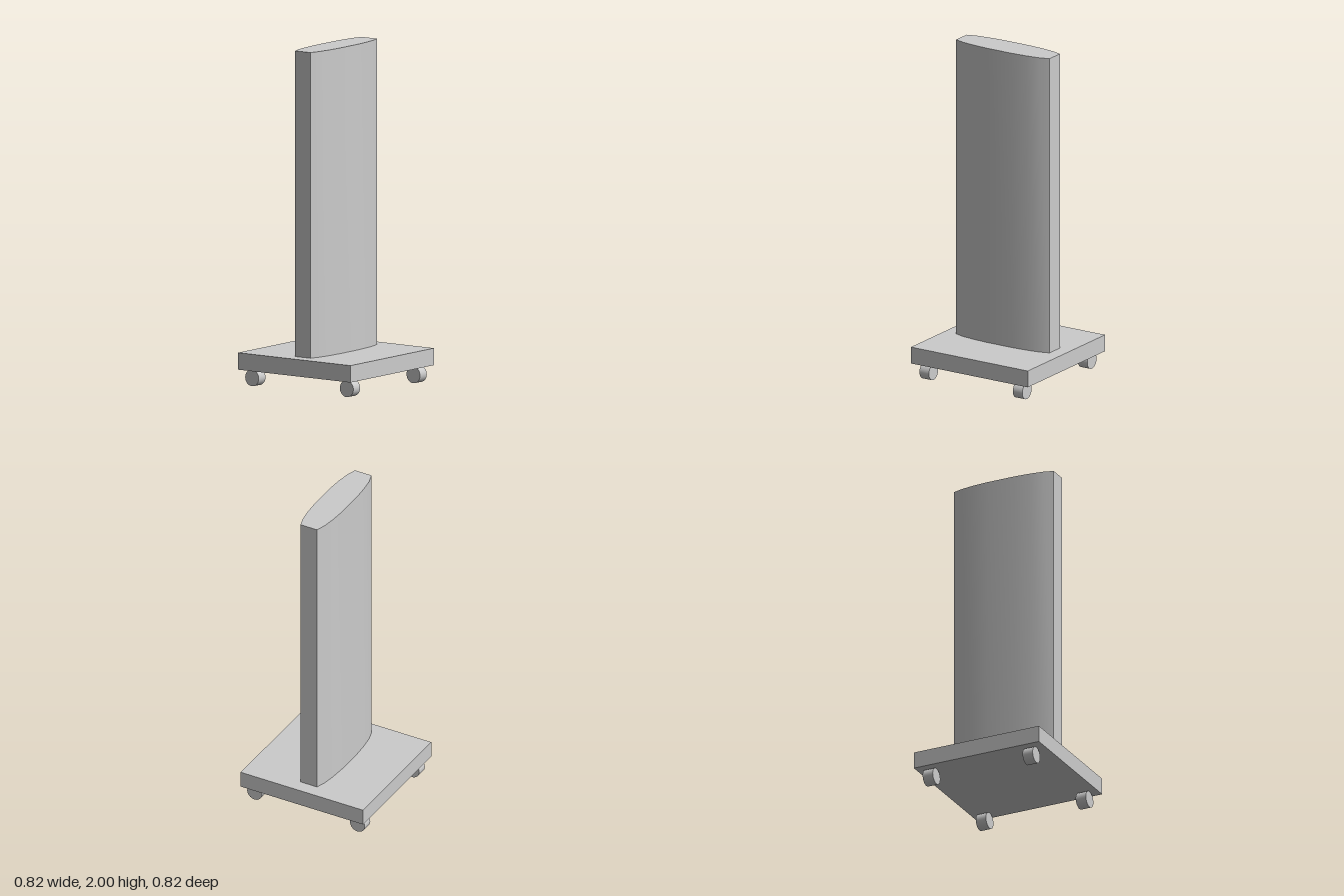
import * as THREE from 'three';
import { toCreasedNormals } from 'three/addons/utils/BufferGeometryUtils.js';

export function createModel() {
  const model = new THREE.Group();
  model.name = 'rollingDisplayStand';
  const grey = new THREE.MeshStandardMaterial({ color: 0xcccccc });
  const add = (name, geometry, x, y, z) => {
    const mesh = new THREE.Mesh(geometry, grey);
    mesh.name = name;
    mesh.position.set(x, y, z);
    model.add(mesh);
    return mesh;
  };

  // Square base plate
  const bottom = 0.098, top = 0.198;
  add('basePlate', new THREE.BoxGeometry(0.816, top - bottom, 0.816), 0, (bottom + top) / 2, 0);

  // Upright panel: bowed front and back, flat narrow ends
  const half = [[0.326, 0.055], [0.266, 0.0735], [0.186, 0.0845], [0.089, 0.091]];
  const bow = [...half, ...half.map(([x, z]) => [-x, z]).reverse()];
  const outline = [...bow, ...bow.map(([x, z]) => [-x, -z])].map(([x, z]) => new THREE.Vector2(x, z));
  const panel = new THREE.ExtrudeGeometry(new THREE.Shape(outline), { depth: 2 - top, bevelEnabled: false });
  panel.rotateX(-Math.PI / 2);
  add('uprightPanel', toCreasedNormals(panel, 0.6), 0, top, 0);

  // Four wheels under the corners
  const wheel = new THREE.CylinderGeometry(0.049, 0.049, 0.066, 32).rotateZ(Math.PI / 2);
  for (const [sx, side] of [[1, 'Left'], [-1, 'Right']]) {
    for (const [sz, end] of [[1, 'front'], [-1, 'back']]) {
      add(`${end}${side}Wheel`, wheel, sx * 0.326, 0.049, sz * 0.343);
    }
  }
  return model;
}
